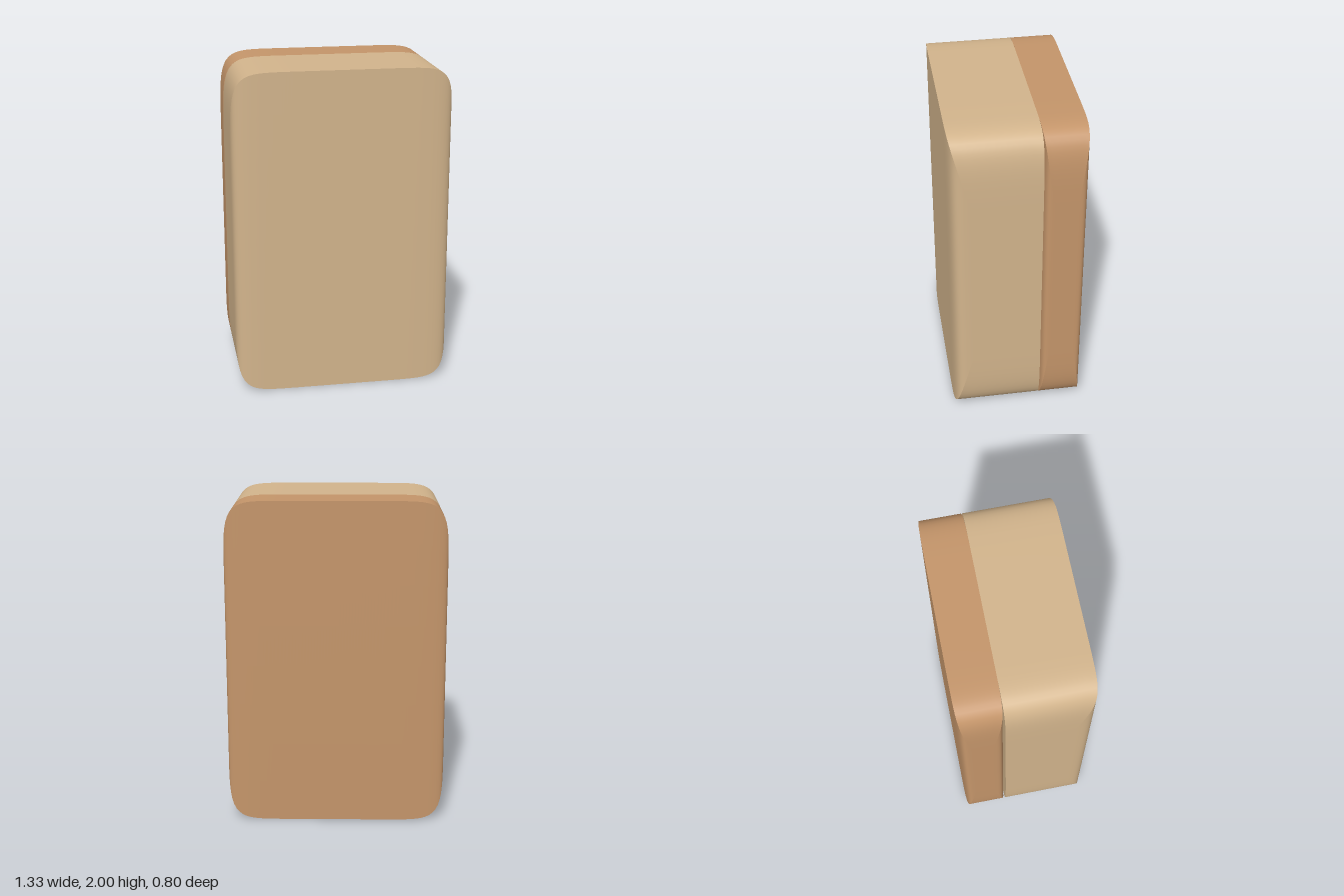
import * as THREE from 'three';
import { mergeGeometries } from 'three/addons/utils/BufferGeometryUtils.js';

const POWER = 10; // squareness of the rounded ends

// A soft-ended block: a rectangle in y-z whose size shrinks along a superellipse in x.
// It is made of four curved sheets turned about the x axis, which keeps the long edges crisp.
// With flatBack, the rear half runs straight to a flat rim.
function softBlock(halfX, halfY, halfZ, flatBack) {
  const sheets = [];
  for (let k = 0; k < 4; k++) {
    const g = new THREE.PlaneGeometry(2, 2, 120, 8);
    const p = g.attributes.position;
    for (let i = 0; i < p.count; i++) {
      const angle = p.getX(i) * Math.PI / 2;
      const across = p.getY(i);
      const s = Math.sin(angle), c = Math.max(0, Math.cos(angle));
      const norm = Math.pow(Math.pow(Math.abs(s), POWER) + Math.pow(c, POWER), 1 / POWER);
      const r = c / norm;
      const turn = k * Math.PI / 2;
      const cos = Math.round(Math.cos(turn)), sin = Math.round(Math.sin(turn));
      const y = r * (across * cos - sin);
      let z = r * (across * sin + cos);
      if (flatBack) {
        const fullZ = across * sin + cos; // depth before the ends shrink
        if (fullZ < 0) z = fullZ;
      }
      p.setXYZ(i, halfX * s / norm, halfY * y, halfZ * z);
    }
    g.computeVertexNormals();
    sheets.push(g);
  }
  return mergeGeometries(sheets);
}

export function createModel() {
  const group = new THREE.Group();
  group.name = 'twoPartCase';

  const tan = new THREE.MeshStandardMaterial({ color: 0xd2b48c });
  tan.name = 'tan';
  const brown = new THREE.MeshStandardMaterial({ color: 0xc4956a });
  brown.name = 'warmBrown';

  // deep front body with a flat rim
  const body = new THREE.Mesh(softBlock(0.667, 1, 0.267, true), tan);
  body.name = 'body';
  body.position.set(0, 1, 0.133);

  // shallower back cover, rounded at both its front and back
  const cover = new THREE.Mesh(softBlock(0.667, 1, 0.133, false), brown);
  cover.name = 'backCover';
  cover.position.set(0, 1, -0.267);

  group.add(body, cover);
  return group;
}
